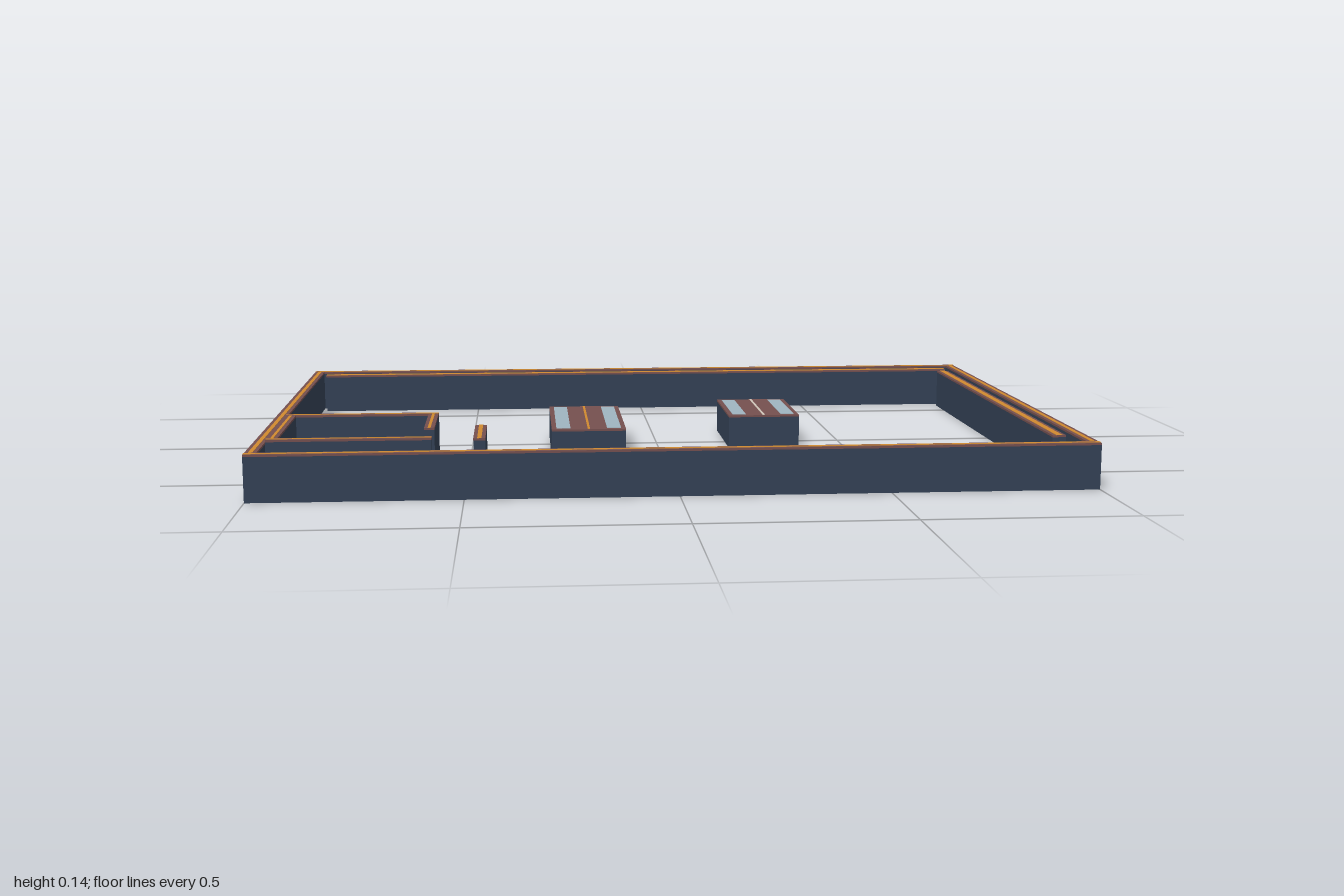
import * as THREE from 'three';

const slate = new THREE.MeshStandardMaterial({ color: 0x334155 });
const brown = new THREE.MeshStandardMaterial({ color: 0x75504f });
const amber = new THREE.MeshStandardMaterial({ color: 0xd08a30 });
const glass = new THREE.MeshStandardMaterial({ color: 0x9fb4c0 });
const pale = new THREE.MeshStandardMaterial({ color: 0xd0c4b8 });

// Box given by its limits on each axis
function slab(parent, name, material, x0, x1, y0, y1, z0, z1) {
  const mesh = new THREE.Mesh(new THREE.BoxGeometry(x1 - x0, y1 - y0, z1 - z0), material);
  mesh.position.set((x0 + x1) / 2, (y0 + y1) / 2, (z0 + z1) / 2);
  mesh.name = name;
  parent.add(mesh);
}

// Straight wall with a brown coping and a thin amber line along it
function wall(parent, name, x0, x1, z0, z1, h) {
  const g = new THREE.Group();
  g.name = name;
  slab(g, 'wallBody', slate, x0, x1, 0, h - 0.006, z0, z1);
  slab(g, 'coping', brown, x0, x1, h - 0.006, h - 0.001, z0, z1);
  const alongX = x1 - x0 > z1 - z0;
  const inset = 0.009;
  slab(g, 'copingLine', amber,
    x0 + (alongX ? 0 : inset), x1 - (alongX ? 0 : inset), h - 0.001, h,
    z0 + (alongX ? inset : 0), z1 - (alongX ? inset : 0));
  parent.add(g);
}

// Low block with a brown top, two light strips and a ridge line
function block(parent, name, x0, x1, z0, z1, lineMaterial) {
  const g = new THREE.Group();
  g.name = name;
  const h = 0.088, mid = (x0 + x1) / 2;
  slab(g, 'blockBody', slate, x0, x1, 0, h - 0.005, z0, z1);
  slab(g, 'blockTop', brown, x0, x1, h - 0.005, h, z0, z1);
  for (const s of [-1, 1]) {
    const c = mid + s * 0.065;
    slab(g, 'lightStrip', glass, c - 0.018, c + 0.018, h, h + 0.001, z0 + 0.015, z1 - 0.015);
  }
  slab(g, 'ridgeLine', lineMaterial, mid - 0.003, mid + 0.003, h, h + 0.001, z0 + 0.004, z1 - 0.004);
  parent.add(g);
}

export function createModel() {
  const model = new THREE.Group();
  model.name = 'walledYard';
  const H = 0.113, T = 0.028, D = 0.712;

  // Perimeter
  wall(model, 'backWall', -1, 1, -D, -D + T, H);
  wall(model, 'frontWall', -1, 1, D - T, D, H);
  wall(model, 'rightWall', -1, -1 + T, -D + T, D - T, H);
  wall(model, 'leftWall', 1 - T, 1, -D + T, D - T, H);

  // Inner runs beside the perimeter
  wall(model, 'innerBackWall', -0.96, 0.955, -0.66, -0.625, H - 0.003);
  wall(model, 'innerLeftWall', 0.922, 0.955, -0.59, 0.582, H - 0.003);

  // Corner room, open at one corner, and its screen wall
  const R = 0.138, t = 0.025;
  wall(model, 'roomBackWall', -0.955, -0.575, 0.285, 0.285 + t, R);
  wall(model, 'roomFrontWall', -0.955, -0.575, 0.663 - t, 0.663, R);
  wall(model, 'roomOuterWall', -0.955, -0.955 + t, 0.285 + t, 0.663 - t, R);
  wall(model, 'roomInnerWall', -0.575 - t, -0.575, 0.285 + t, 0.52, R);
  wall(model, 'screenWall', -0.478, -0.45, 0.488, 0.675, R);

  // Freestanding blocks
  block(model, 'longBlock', -0.29, -0.1, -0.1, 0.283, amber);
  block(model, 'shortBlock', 0.188, 0.378, -0.192, 0.093, pale);
  return model;
}
